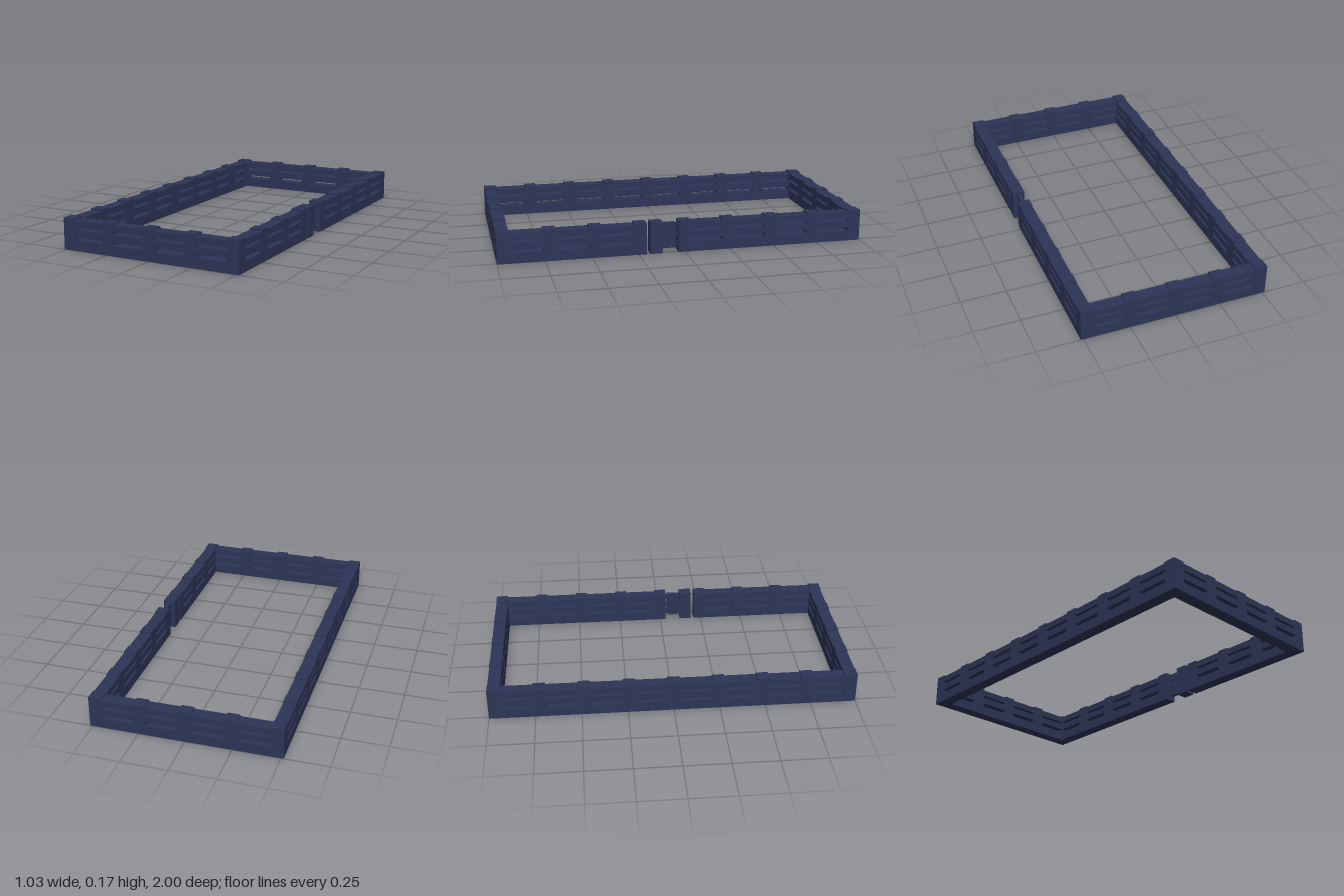
import * as THREE from 'three';

const W = 0.068;               // wall and post thickness
const POST_H = 0.172;
const HX = 0.515 - W / 2;      // wall centre lines
const HZ = 1 - W / 2;
const RAILS = [[0, 0.055], [0.075, 0.113], [0.127, 0.163]]; // bottom, top

export function createModel() {
  const model = new THREE.Group();
  model.name = 'fenceEnclosure';
  const navy = new THREE.MeshStandardMaterial({ color: 0x2d3557 });
  navy.name = 'navy';

  function box(parent, name, w, h, d, x, y, z) {
    const mesh = new THREE.Mesh(new THREE.BoxGeometry(w, h, d), navy);
    mesh.name = name;
    mesh.position.set(x, y + h / 2, z);
    parent.add(mesh);
  }

  function group(name) {
    const g = new THREE.Group();
    g.name = name;
    model.add(g);
    return g;
  }

  const post = (g, x, z) => box(g, 'post', W, POST_H, W, x, 0, z);

  // Three rails filling the space between two neighbouring posts
  function rails(g, x0, z0, x1, z1) {
    const alongX = z0 === z1;
    const len = (alongX ? Math.abs(x1 - x0) : Math.abs(z1 - z0)) - W;
    for (const [lo, hi] of RAILS) {
      box(g, 'rail', alongX ? len : W, hi - lo, alongX ? W : len, (x0 + x1) / 2, lo, (z0 + z1) / 2);
    }
  }

  // Front and back walls, corner posts included
  for (const s of [1, -1]) {
    const g = group(s > 0 ? 'frontWall' : 'backWall');
    const step = HX / 2;
    for (let i = -2; i <= 2; i++) {
      post(g, i * step, s * HZ);
      if (i < 2) rails(g, i * step, s * HZ, (i + 1) * step, s * HZ);
    }
  }

  // Side walls; the left one leaves one bay open for the gate
  for (const s of [1, -1]) {
    const g = group(s > 0 ? 'leftWall' : 'rightWall');
    const step = HZ / 4;
    for (let i = -4; i < 4; i++) {
      if (i > -4) post(g, s * HX, i * step);
      if (s > 0 && i === 0) continue;
      rails(g, s * HX, i * step, s * HX, (i + 1) * step);
    }
  }

  // Narrow gate: thin panel, end post and hinge pin
  const gate = group('gate');
  post(gate, HX, 0.155);
  box(gate, 'gatePanel', 0.02, 0.142, 0.071, HX, 0.02, 0.0855);
  for (const y of [0.03, 0.083, 0.13]) {
    box(gate, 'hinge', 0.02, 0.025, 0.016, HX, y, 0.042);
  }
  const pin = new THREE.Mesh(new THREE.CylinderGeometry(0.004, 0.004, 0.142, 8), navy);
  pin.name = 'hingePin';
  pin.position.set(HX + 0.01, 0.091, 0.045);
  gate.add(pin);

  return model;
}
